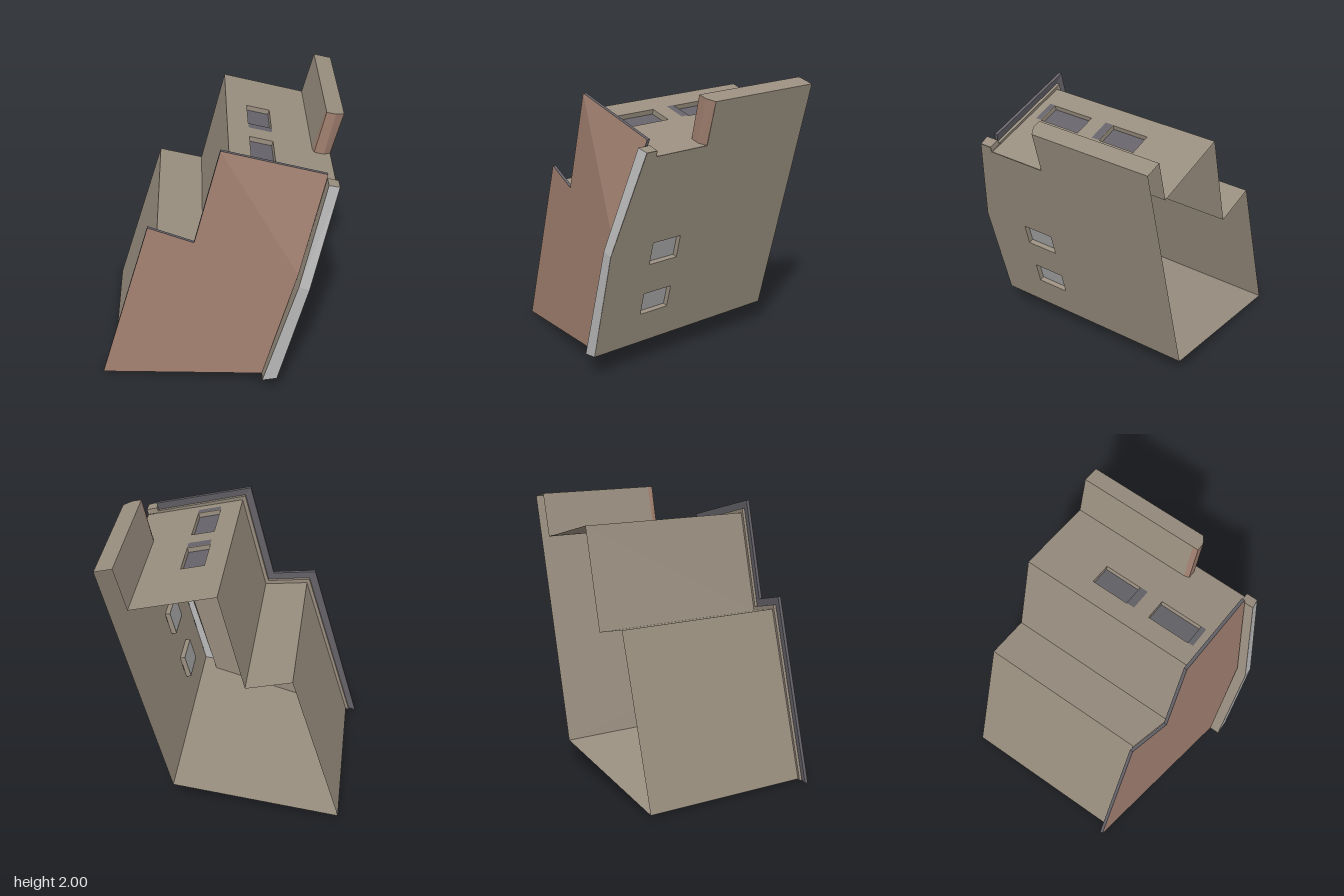
import * as THREE from 'three';

const mat = (name, color) => {
  const m = new THREE.MeshStandardMaterial({ color, side: THREE.DoubleSide });
  m.name = name;
  return m;
};

export function createModel() {
  const model = new THREE.Group();
  model.name = 'leaningHouse';
  const plaster = mat('beigePlaster', 0x9a8f80);
  const brick = mat('brownBrick', 0xa18070);
  const trim = mat('darkGreyTrim', 0x66646a);
  const stone = mat('lightGreyStone', 0xb8b8b8);
  const glass = mat('greyGlass', 0xa6a6a6);

  const add = (name, geo, material, parent = model) => {
    const mesh = new THREE.Mesh(geo, material);
    mesh.name = name;
    parent.add(mesh);
    return mesh;
  };
  const shapeOf = pts => new THREE.Shape(pts.map(p => new THREE.Vector2(p[0], p[1])));
  const rect = (x0, y0, x1, y1) => [[x0, y0], [x1, y0], [x1, y1], [x0, y1]];

  // flat polygon from corners in order (fan)
  const poly = (name, material, ...c) => {
    const v = [];
    for (let i = 1; i < c.length - 1; i++) v.push(...c[0], ...c[i], ...c[i + 1]);
    const g = new THREE.BufferGeometry();
    g.setAttribute('position', new THREE.Float32BufferAttribute(v, 3));
    g.computeVertexNormals();
    add(name, g, material);
  };

  // front depth of the folded facade
  const frontZ = (x, y) => Math.min(0.656 + 0.203 * x - 0.0528 * y, 0.9346 - 0.0368 * x - 0.195 * y);
  const BACK = -0.785;

  // shell panel from a to b (seen from the front); outline is [fraction along, z], windows [t0, z0, t1, z1]
  const panel = (name, a, b, outline, windows = [], paneMat = glass) => {
    const len = Math.hypot(b[0] - a[0], b[1] - a[1]);
    const dir = new THREE.Vector3((b[0] - a[0]) / len, (b[1] - a[1]) / len, 0);
    const zAxis = new THREE.Vector3(0, 0, 1);
    const group = new THREE.Group();
    group.name = name;
    group.applyMatrix4(new THREE.Matrix4()
      .makeBasis(dir, zAxis, new THREE.Vector3().crossVectors(dir, zAxis))
      .setPosition(a[0], a[1], 0));
    model.add(group);
    const shape = shapeOf(outline.map(([t, z]) => [t * len, z]));
    const depth = 0.04, e = 0.004;
    for (const [t0, z0, t1, z1] of windows) {
      const r = [t0 * len, z0, t1 * len, z1];
      shape.holes.push(shapeOf(rect(...r)));
      const frame = shapeOf(rect(r[0] - e, r[1] - e, r[2] + e, r[3] + e));
      frame.holes.push(shapeOf(rect(...r)));
      const reveal = new THREE.ExtrudeGeometry(frame, { depth: depth - 0.002, bevelEnabled: false });
      add('windowReveal', reveal.translate(0, 0, -depth), plaster, group);
      add('windowPane', new THREE.ShapeGeometry(shapeOf(rect(...r))).translate(0, 0, -depth + 0.002), paneMat, group);
    }
    add(name + 'Surface', new THREE.ShapeGeometry(shape), plaster, group);
    return { group, len };
  };

  // body cross-section
  const A = [-0.79, 0.01], B = [0.415, 0.18], C = [0.785, 1.66], D = [0.865, 1.97];
  const E = [0.74, 2.0], F = [0.66, 1.69], G = [0.07, 1.84], H = [-0.11, 1.12], I = [-0.43, 1.2];
  const lip = p => frontZ(p[0], p[1]) - 0.045;
  const plain = (a, b) => [[0, BACK], [1, BACK], [1, lip(b)], [0, lip(a)]];
  const tY = y => (y - B[1]) / (D[1] - B[1]);
  const tX = x => (C[0] - x) / (C[0] - G[0]);

  panel('floor', A, B, [[0, BACK], [1, BACK], [1, 0.785], [0.913, 0.785], [0.913, 0.68], [0, lip(A)]]);
  panel('sideWall', B, D, [
    [0, BACK], [1, BACK], [1, 0.11], [tY(1.66), 0.11], [tY(1.66), 0.54],
    [tY(1.7), 0.54], [tY(1.7), 0.625], [tY(0.98), 0.785], [0, 0.785],
  ], [
    [tY(0.425), 0.19, tY(0.595), 0.43],
    [tY(0.83), 0.19, tY(1.0), 0.43],
  ]);
  panel('parapetTop', D, E, rect(0, BACK, 1, 0.11));
  panel('parapetInside', E, F, rect(0, BACK, 1, 0.11));
  const tF = tX(F[0]);
  const roof = panel('upperRoof', C, G, [
    [tF, BACK], [1, BACK], [1, lip(G)], [0, lip(C)], [0, 0.105], [tF, 0.105],
  ], [
    [tX(0.385), -0.35, tX(0.22), -0.07],
    [tX(0.385), 0.11, tX(0.22), 0.43],
  ], trim);
  // flat aprons in front of the roof windows
  for (const [z0, z1] of [[-0.07, -0.01], [0.43, 0.47]]) {
    const r = rect(tX(0.385) * roof.len, z0, tX(0.22) * roof.len, z1);
    add('windowApron', new THREE.ShapeGeometry(shapeOf(r)).translate(0, 0, 0.003), trim, roof.group);
  }
  panel('upperWall', G, H, plain(G, H));
  panel('lowerRoof', H, I, plain(H, I));
  panel('lowerWall', I, A, plain(I, A));

  // parapet end cap with a bevelled outer corner
  const p0 = [0.67, 1.69, 0.145], p1 = [0.735, 1.67, 0.145], p2 = [0.805, 1.985, 0.145], p3 = [0.74, 2, 0.145];
  poly('parapetEnd', brick, p0, p1, p2, p3);
  poly('parapetEndBevel', brick, p1, [...C, 0.11], [...D, 0.11], p2);
  poly('parapetEndSide', brick, [...F, 0.105], p0, p3, [...E, 0.105]);
  poly('parapetEndTop', plaster, [...E, 0.105], p3, p2, [...D, 0.11]);

  // folded facade layers: a lower sheet and an upper triangle sharing the fold
  const bend = (geo, offset) => {
    const p = geo.attributes.position;
    for (let i = 0; i < p.count; i++) p.setZ(i, p.getZ(i) + frontZ(p.getX(i), p.getY(i)) + offset);
    geo.computeVertexNormals();
    return geo;
  };
  const sheets = ([a, b, c, d, e, f, g]) => [[a, b, c, e, f, g], [c, d, e]].map(shapeOf);
  const slab = (name, pts, depth, offset, material) => {
    for (const s of sheets(pts)) add(name, bend(new THREE.ExtrudeGeometry(s, { depth, bevelEnabled: false }), offset), material);
  };
  const face = [[-0.865, 0], [0.31, 0.165], [0.54, 1.05], [0.72, 1.76], [0.01, 1.94], [-0.17, 1.22], [-0.49, 1.3]];
  const inner = [[-0.815, 0.006], [0.31, 0.165], [0.54, 1.05], [0.71, 1.7], [0.05, 1.875], [-0.13, 1.155], [-0.448, 1.235]];
  slab('facadeRim', face, 0.023, -0.025, trim);
  slab('facadeMoulding', inner, 0.021, -0.046, plaster);
  for (const s of sheets(face)) add('facadeFront', bend(new THREE.ShapeGeometry(s).toNonIndexed(), 0), brick);

  // corner pilaster following the same fold
  const a = [0.31, 0.165], b = [0.54, 1.0], c = [0.72, 1.72];
  const ob = [0.615, 0.98, 0.785], oc = [0.795, 1.7, 0.625];
  poly('pilasterFrontLower', stone, [...a, 0.785], [...B, 0.785], ob, [...b, 0.785]);
  poly('pilasterFrontUpper', stone, [...b, 0.785], ob, oc, [...c, 0.635]);
  poly('pilasterSideLower', plaster, [...a, 0.67], [...a, 0.785], [...b, 0.785], [...b, 0.67]);
  poly('pilasterSideUpper', plaster, [...b, 0.67], [...b, 0.785], [...c, 0.635], [...c, 0.54]);
  poly('pilasterTop', plaster, [...c, 0.54], [...c, 0.635], oc, [0.795, 1.7, 0.54]);
  poly('pilasterBack', plaster, [0.795, 1.7, 0.54], [...C, 0.54], [0.705, 1.68, 0.54], [...c, 0.54]);

  return model;
}
